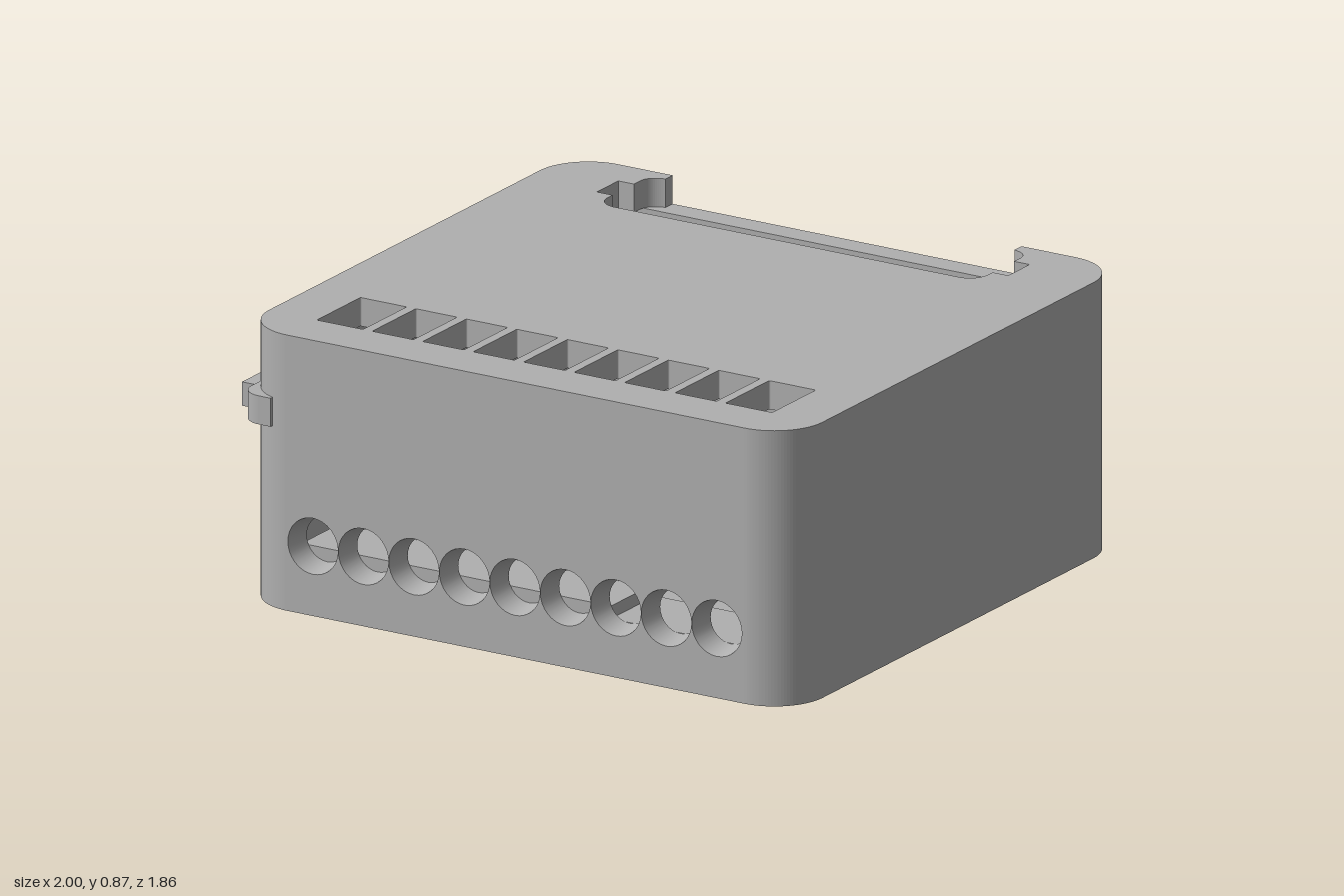
import * as THREE from 'three';

const X0 = -0.95, X1 = 1, Z = 0.93, R = 0.17, WALL = 0.08;
const FLOOR = 0.075, LID = 0.78, TOP = 0.87;

// Rounded rectangle outline, drawn in (x, -z)
function roundRect(x0, x1, y0, y1, r, Type = THREE.Shape) {
  const s = new Type();
  s.moveTo(x0 + r, y0);
  s.lineTo(x1 - r, y0);
  s.absarc(x1 - r, y0 + r, r, -Math.PI / 2, 0);
  s.lineTo(x1, y1 - r);
  s.absarc(x1 - r, y1 - r, r, 0, Math.PI / 2);
  s.lineTo(x0 + r, y1);
  s.absarc(x0 + r, y1 - r, r, Math.PI / 2, Math.PI);
  s.lineTo(x0, y0 + r);
  s.absarc(x0 + r, y0 + r, r, Math.PI, Math.PI * 1.5);
  return s;
}

// Plan shape raised from y0 to y1
function slab(shape, y0, y1) {
  const g = new THREE.ExtrudeGeometry(shape, { depth: y1 - y0, bevelEnabled: false, curveSegments: 14 });
  return g.rotateX(-Math.PI / 2).translate(0, y0, 0);
}

export function createModel() {
  const model = new THREE.Group();
  const grey = new THREE.MeshStandardMaterial({ color: 0xb0b0b0 });
  grey.name = 'greyPlastic';
  const greyInner = grey.clone();
  greyInner.name = 'greyPlasticInner';
  greyInner.side = THREE.BackSide;

  const add = (name, geometry, material = grey) => {
    const m = new THREE.Mesh(geometry, material);
    m.name = name;
    model.add(m);
    return m;
  };
  const block = (name, x0, x1, y0, y1, z0, z1) =>
    add(name, new THREE.BoxGeometry(x1 - x0, y1 - y0, z1 - z0)
      .translate((x0 + x1) / 2, (y0 + y1) / 2, (z0 + z1) / 2));

  // Base with a shallow recess underneath
  const base = roundRect(X0, X1, -Z, Z, R);
  base.holes.push(roundRect(-0.68, 0.74, -0.32, 0.68, 0.05, THREE.Path));
  add('baseRim', slab(base, 0, 0.035));
  add('floor', slab(roundRect(X0, X1, -Z, Z, R), 0.035, FLOOR));

  // Side and back walls, open between the front corners
  const walls = new THREE.Shape();
  const ir = R - WALL;
  walls.moveTo(X1 - R, -Z);
  walls.absarc(X1 - R, -Z + R, R, -Math.PI / 2, 0);
  walls.lineTo(X1, Z - R);
  walls.absarc(X1 - R, Z - R, R, 0, Math.PI / 2);
  walls.lineTo(X0 + R, Z);
  walls.absarc(X0 + R, Z - R, R, Math.PI / 2, Math.PI);
  walls.lineTo(X0, -Z + R);
  walls.absarc(X0 + R, -Z + R, R, Math.PI, Math.PI * 1.5);
  walls.lineTo(X0 + R, -Z + WALL);
  walls.absarc(X0 + R, -Z + R, ir, Math.PI * 1.5, Math.PI, true);
  walls.lineTo(X0 + WALL, Z - R);
  walls.absarc(X0 + R, Z - R, ir, Math.PI, Math.PI / 2, true);
  walls.lineTo(X1 - R, Z - WALL);
  walls.absarc(X1 - R, Z - R, ir, Math.PI / 2, 0, true);
  walls.lineTo(X1 - WALL, -Z + R);
  walls.absarc(X1 - R, -Z + R, ir, 0, -Math.PI / 2, true);
  add('walls', slab(walls, FLOOR, LID));

  // Front wall with nine tapered cable holes
  const holeX = Array.from({ length: 9 }, (_, i) => -0.69 + i * 0.178);
  const holeY = 0.22, rOut = 0.0885, rIn = 0.072;
  const panel = (r) => {
    const s = new THREE.Shape();
    s.moveTo(X0 + R, FLOOR);
    s.lineTo(X1 - R, FLOOR);
    s.lineTo(X1 - R, LID);
    s.lineTo(X0 + R, LID);
    for (const x of holeX) {
      const h = new THREE.Path();
      h.absarc(x, holeY, r, 0, Math.PI * 2, true);
      s.holes.push(h);
    }
    return new THREE.ShapeGeometry(s, 16);
  };
  add('frontWallOuter', panel(rOut).translate(0, 0, Z));
  add('frontWallInner', panel(rIn).translate(0, 0, Z - WALL), greyInner);
  for (const x of holeX) {
    add('cableHole', new THREE.CylinderGeometry(rOut, rIn, WALL, 32, 1, true)
      .rotateX(Math.PI / 2).translate(x, holeY, Z - WALL / 2), greyInner);
  }

  // Lid outline with the connector opening cut in from the back
  const lid = new THREE.Shape();
  const mid = 0.025;
  lid.moveTo(X0 + R, -Z);
  lid.lineTo(X1 - R, -Z);
  lid.absarc(X1 - R, -Z + R, R, -Math.PI / 2, 0);
  lid.lineTo(X1, Z - R);
  lid.absarc(X1 - R, Z - R, R, 0, Math.PI / 2);
  lid.lineTo(mid + 0.615, Z);
  lid.lineTo(mid + 0.615, 0.89);
  lid.quadraticCurveTo(mid + 0.665, 0.88, mid + 0.67, 0.84);
  for (const [dx, y] of [[0.67, 0.8], [0.725, 0.8], [0.725, 0.68], [0.67, 0.68], [0.67, 0.65]]) lid.lineTo(mid + dx, y);
  lid.quadraticCurveTo(mid + 0.665, 0.6, mid + 0.615, 0.59);
  lid.lineTo(mid - 0.615, 0.59);
  lid.quadraticCurveTo(mid - 0.665, 0.6, mid - 0.67, 0.65);
  for (const [dx, y] of [[0.67, 0.68], [0.725, 0.68], [0.725, 0.8], [0.67, 0.8], [0.67, 0.84]]) lid.lineTo(mid - dx, y);
  lid.quadraticCurveTo(mid - 0.665, 0.88, mid - 0.615, 0.89);
  lid.lineTo(mid - 0.615, Z);
  lid.lineTo(X0 + R, Z);
  lid.absarc(X0 + R, Z - R, R, Math.PI / 2, Math.PI);
  lid.lineTo(X0, -Z + R);
  lid.absarc(X0 + R, -Z + R, R, Math.PI, Math.PI * 1.5);

  // Row of terminal windows, the end ones a little wider
  holeX.forEach((x, i) => {
    const a = i === 0 ? -0.78 : x - 0.073, b = i === 8 ? 0.825 : x + 0.073;
    lid.holes.push(roundRect(a, b, -0.765, -0.52, 0.005, THREE.Path));
  });
  add('lid', slab(lid, LID, TOP));

  // Ledge and post behind the cable holes
  block('terminalLedge', X0 + R, X1 - R, FLOOR, 0.15, 0.6, Z - WALL);
  block('terminalStep', X0 + R, 0.31, 0.15, 0.19, 0.64, Z - WALL);
  block('terminalPost', 0.18, 0.225, 0.15, 0.4, 0.6, 0.64);

  // Latch on the front corner
  const latch = new THREE.Shape();
  latch.moveTo(-0.84, -Z);
  latch.lineTo(-0.84, -0.74);
  latch.lineTo(X0, -0.74);
  latch.lineTo(X0, -Z + 0.07);
  latch.absarc(X0 + 0.07, -Z + 0.07, 0.07, Math.PI, Math.PI * 1.5);
  add('latchBase', slab(latch, 0.57, 0.66));
  block('latchTab', -1, -0.94, 0.58, 0.655, 0.73, 0.835);

  return model;
}
